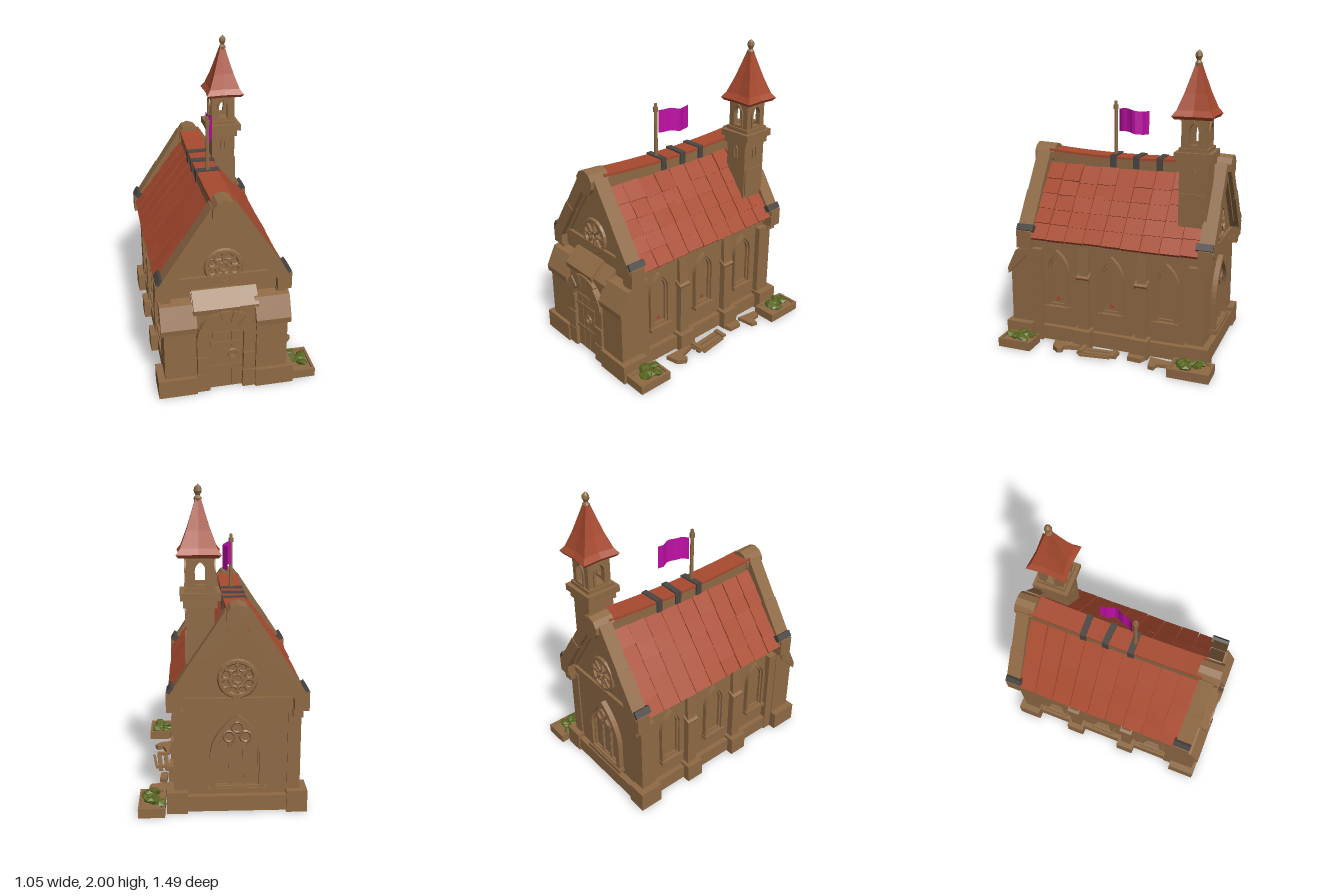
import * as THREE from 'three';

const mat = (name, color) => Object.assign(new THREE.MeshStandardMaterial({ color }), { name });
const stone = mat('brown stone', 0x8f6a45);
const tile = mat('red tile', 0xa84a2f);
const iron = mat('dark iron', 0x4b4643);
const leaf = mat('green leaf', 0x59661f);
const cloth = mat('magenta cloth', 0xc00fa6);
cloth.side = THREE.DoubleSide;

let seed = 7;
const rnd = (a) => { seed = (seed * 16807) % 2147483647; return (seed / 2147483647 - 0.5) * 2 * a; };

// Faceted normals for every part
function add(parent, name, geo, m, x = 0, y = 0, z = 0, rx = 0, ry = 0, rz = 0) {
  const g = geo.index ? geo.toNonIndexed() : geo;
  g.computeVertexNormals();
  const mesh = new THREE.Mesh(g, m);
  mesh.name = name;
  mesh.position.set(x, y, z);
  mesh.rotation.set(rx, ry, rz);
  parent.add(mesh);
  return mesh;
}
const box = (p, name, m, w, h, d, x, y, z, rx, ry, rz) => add(p, name, new THREE.BoxGeometry(w, h, d), m, x, y, z, rx, ry, rz);
const extrude = (shape, depth) => new THREE.ExtrudeGeometry(shape, { depth, bevelEnabled: false, curveSegments: 8 });
const poly = (pts) => new THREE.Shape(pts.map(([a, b]) => new THREE.Vector2(a, b)));
const group = (p, name, x = 0, y = 0, z = 0, ry = 0) => {
  const g = new THREE.Group();
  g.name = name;
  g.position.set(x, y, z);
  g.rotation.y = ry;
  p.add(g);
  return g;
};
// Profile in (z, y) swept across x
const sweepX = (p, name, m, pts, width, x) => add(p, name, extrude(poly(pts), width).translate(0, 0, -width / 2), m, x, 0, 0, 0, -Math.PI / 2, 0);

// Pointed arch outline, standing on y0
function arch(w, h, y0 = 0, C = THREE.Shape) {
  const s = new C(), k = h - w * 0.85;
  s.moveTo(-w / 2, y0);
  s.lineTo(w / 2, y0);
  s.lineTo(w / 2, y0 + k);
  s.quadraticCurveTo(w / 2, y0 + k + w * 0.5, 0, y0 + h);
  s.quadraticCurveTo(-w / 2, y0 + k + w * 0.5, -w / 2, y0 + k);
  s.closePath();
  return s;
}
function archFrame(p, name, w, h, t, depth, z = 0) {
  const s = arch(w, h);
  s.holes.push(arch(w - 2 * t, h - 2.1 * t, t, THREE.Path));
  return add(p, name, extrude(s, depth), stone, 0, 0, z);
}

function sideWindow(p, x, z, ry, lamp) {
  const g = group(p, 'sideWindow', x, 0.24, z, ry);
  archFrame(g, 'outerFrame', 0.17, 0.42, 0.022, 0.03);
  archFrame(g, 'innerFrame', 0.13, 0.37, 0.016, 0.016).position.y = 0.022;
  box(g, 'sill', stone, 0.18, 0.025, 0.045, 0, 0.01, 0.02);
  if (lamp) add(g, 'lampSpot', new THREE.CylinderGeometry(0.014, 0.014, 0.006, 10), tile, 0, 0.07, 0.003, Math.PI / 2);
}

function roseWindow(p, z, ry) {
  const g = group(p, 'roseWindow', 0, 0.86, z, ry);
  add(g, 'roseRing', new THREE.TorusGeometry(0.108, 0.017, 6, 20), stone);
  add(g, 'roseHub', new THREE.TorusGeometry(0.025, 0.009, 5, 12), stone, 0, 0, 0.006);
  for (let i = 0; i < 8; i++) {
    const a = i * Math.PI / 4;
    box(g, 'roseSpoke', stone, 0.075, 0.012, 0.02, Math.cos(a) * 0.063, Math.sin(a) * 0.063, 0.005, 0, 0, a);
    add(g, 'roseLobe', new THREE.TorusGeometry(0.026, 0.007, 4, 8), stone, Math.cos(a + 0.39) * 0.077, Math.sin(a + 0.39) * 0.077, 0.004);
  }
}

function buildRoof(c) {
  const sag = (z) => -0.028 * (1 - (z / 0.62) ** 2);
  const th = 0.936, rows = 5, cols = 9, pitch = 1.19 / cols;
  for (const s of [-1, 1]) {
    for (let r = 0; r < rows; r++) for (let k = 0; k < cols; k++) {
      const f = (r + 0.5) / rows, z = -0.62 + (k + 0.5) * pitch;
      box(c, 'roofTile', tile, 0.132 + rnd(0.006), 0.03, pitch - 0.005, s * (0.066 + 0.335 * f), 1.2 - 0.455 * f + sag(z) * (1 - f) + rnd(0.003), z,
        0, rnd(0.03), -s * (th - 0.07 + rnd(0.025)));
    }
    // Slab under the tiles
    box(c, 'roofDeck', tile, 0.56, 0.02, 1.19, s * 0.215, 0.962, -0.025, 0, 0, -s * th);
  }
  // Sagging ridge
  const bend = (geo) => {
    const q = geo.attributes.position;
    for (let i = 0; i < q.count; i++) q.setY(i, q.getY(i) + sag(q.getZ(i)));
    return geo;
  };
  add(c, 'ridgeBeam', bend(new THREE.BoxGeometry(0.135, 0.1, 1.2, 1, 1, 10)), stone, 0, 1.235, -0.025);
  add(c, 'ridgeCap', bend(new THREE.BoxGeometry(0.142, 0.016, 1.19, 1, 1, 10)), tile, 0, 1.291, -0.025);
  for (const z of [0.09, -0.08, -0.24]) box(c, 'ridgeStrap', iron, 0.156, 0.085, 0.042, 0, 1.24, z, 0, rnd(0.05), 0);
}

function buildGable(c, zMid, depth) {
  const e = Math.sign(zMid);
  for (const s of [-1, 1]) {
    box(c, 'coping', stone, 0.32, 0.075, depth, s * 0.135, 1.13, zMid, 0, 0, -s * 0.992);
    box(c, 'coping', stone, 0.32, 0.08, depth + 0.008, s * 0.3, 0.878, zMid, 0, 0, -s * 0.992);
    box(c, 'kneeler', stone, 0.09, 0.12, depth, s * 0.385, 0.73, zMid);
    box(c, 'kneelerFoot', stone, 0.06, 0.05, depth * 0.8, s * 0.365, 0.65, zMid);
    box(c, 'copingStrap', iron, 0.045, 0.095, depth + 0.02, s * 0.374, 0.79, zMid - e * 0.008, 0, 0, -s * 0.992);
    box(c, 'gableRib', stone, 0.42, 0.022, 0.02, s * 0.175, 0.975, zMid + e * 0.01, 0, 0, -s * 0.992);
  }
  add(c, 'apexRoll', new THREE.CylinderGeometry(0.082, 0.076, depth + 0.045, 10), stone, 0, 1.25, zMid, Math.PI / 2);
  box(c, 'gableBeam', stone, 0.64, 0.035, 0.03, 0, 0.725 + (e > 0 ? 0.06 : 0), e > 0 ? 0.615 : -0.645);
}

function buildPorch(c) {
  for (const s of [-1, 1]) {
    sweepX(c, 'porchWing', stone, [[0.56, 0], [0.72, 0], [0.72, 0.5], [0.66, 0.63], [0.56, 0.63]], 0.2, s * 0.295);
    sweepX(c, 'wingCap', stone, [[0.6, 0.61], [0.735, 0.47], [0.74, 0.51], [0.675, 0.645], [0.6, 0.66]], 0.225, s * 0.3);
    box(c, 'wingPlinth', stone, 0.25, 0.13, 0.19, s * 0.315, 0.065, 0.65);
    for (let i = 0; i < 3; i++) // door jamb stones
      box(c, 'jambStone', stone, 0.08 + rnd(0.006), 0.13, 0.06, s * 0.148, 0.07 + i * 0.136, 0.7 + rnd(0.006));
  }
  sweepX(c, 'porchWall', stone, [[0.56, 0], [0.7, 0], [0.7, 0.61], [0.61, 0.7], [0.56, 0.7]], 0.42, 0);
  sweepX(c, 'porchCap', stone, [[0.59, 0.69], [0.715, 0.585], [0.72, 0.62], [0.625, 0.71], [0.59, 0.71]], 0.29, -0.06);
  // Ring of arch stones
  for (let i = 0; i < 7; i++) {
    const s = new THREE.Shape(), a = i * Math.PI / 7 + 0.012, b = (i + 1) * Math.PI / 7 - 0.012;
    s.absarc(0, 0, 0.19, a, b, false);
    s.absarc(0, 0, 0.11, b, a, true);
    add(c, 'archStone', extrude(s, 0.05 + rnd(0.006)), stone, 0, 0.41, 0.685);
  }
  const d = new THREE.Shape();
  d.moveTo(-0.105, 0).lineTo(0.105, 0).lineTo(0.105, 0.41).absarc(0, 0.41, 0.105, 0, Math.PI, false);
  add(c, 'door', extrude(d, 0.02), stone, 0, 0.01, 0.69);
  for (const x of [-0.062, 0, 0.062]) box(c, 'doorPlank', stone, 0.056, 0.42, 0.008, x, 0.23, 0.713);
  for (const y of [0.18, 0.36]) box(c, 'doorBand', stone, 0.2, 0.024, 0.014, 0, y, 0.716);
  add(c, 'doorRing', new THREE.TorusGeometry(0.026, 0.008, 5, 12), stone, 0.04, 0.28, 0.724);
}

function buildTower(p) {
  const t = group(p, 'tower', 0.13, 0, -0.535);
  box(t, 'towerShaft', stone, 0.165, 0.5, 0.185, 0, 1.09, 0);
  box(t, 'shaftFoot', stone, 0.16, 0.19, 0.16, 0.012, 1.02, 0.004);
  box(t, 'lowerCornice', stone, 0.2, 0.05, 0.21, 0, 1.315, 0);
  box(t, 'upperCornice', stone, 0.24, 0.045, 0.24, 0, 1.358, 0, 0, 0.03, 0);
  box(t, 'belfryFloor', stone, 0.19, 0.03, 0.19, 0, 1.39, 0);
  box(t, 'belfryHead', stone, 0.18, 0.04, 0.18, 0, 1.595, 0);
  for (let i = 0; i < 4; i++) {
    const f = group(t, 'belfrySide', 0, 1.39, 0, i * Math.PI / 2);
    const w = poly([[-0.082, 0], [0.082, 0], [0.082, 0.2], [-0.082, 0.2]]);
    w.holes.push(arch(0.062, 0.135, 0.035, THREE.Path));
    add(f, 'belfryWall', extrude(w, 0.025), stone, 0, 0, 0.057);
    archFrame(f, 'belfryArch', 0.09, 0.165, 0.014, 0.012, 0.08).position.y = 0.02;
    if (i < 2) {
      const slit = group(f, 'shaftSlit', 0, -0.2, i ? 0.082 : 0.092);
      archFrame(slit, 'slitFrame', 0.04, 0.09, 0.01, 0.01);
    }
  }
  // Flared spire with pointed corners and dished sides
  const prof = [[0, 1.585], [0.165, 1.585], [0.186, 1.605], [0.15, 1.64], [0.098, 1.74], [0.055, 1.84], [0.018, 1.93], [0, 1.93]];
  const g = new THREE.LatheGeometry(prof.map(([a, b]) => new THREE.Vector2(a, b)), 8), q = g.attributes.position;
  for (let i = 0; i < q.count; i++) {
    const even = Math.floor(i / prof.length) % 2 === 0;
    if (even) { q.setX(i, q.getX(i) * 0.65); q.setZ(i, q.getZ(i) * 0.65); }
  }
  add(t, 'spire', g, tile, 0.008, 0, 0);
  const fin = [[0, 1.9], [0.02, 1.9], [0.024, 1.92], [0.012, 1.935], [0.024, 1.96], [0.02, 1.98], [0, 2]];
  add(t, 'finial', new THREE.LatheGeometry(fin.map(([a, b]) => new THREE.Vector2(a, b)), 8), stone, 0.01);
}

function planter(p, x, z, w, d) {
  const g = group(p, 'planter', x, 0, z);
  box(g, 'planterSoil', stone, w - 0.02, 0.04, d - 0.02, 0, 0.03, 0);
  for (const s of [-1, 1]) {
    box(g, 'planterSide', stone, 0.016, 0.06, d, s * (w / 2 - 0.008), 0.035, 0);
    box(g, 'planterEnd', stone, w, 0.06, 0.016, 0, 0.035, s * (d / 2 - 0.008));
  }
  for (let i = 0; i < 9; i++) // leaf clumps
    add(g, 'leaves', new THREE.IcosahedronGeometry(0.036, 0).scale(1, 0.55, 1.2), leaf, rnd(w * 0.3) - 0.012, 0.075 + rnd(0.014), rnd(d * 0.34), rnd(0.5), rnd(3), rnd(0.4));
}

export function createModel() {
  const root = new THREE.Group();
  root.name = 'chapel';
  const c = group(root, 'hall', -0.09);

  // Walls, plinth and buttresses
  add(c, 'walls', extrude(poly([[-0.35, 0.01], [0.35, 0.01], [0.35, 0.78], [0, 1.23], [-0.35, 0.78]]), 1.25), stone, 0, 0, -0.64);
  box(c, 'plinth', stone, 0.77, 0.1, 1.33, 0, 0.06, -0.015);
  for (const s of [-1, 1]) {
    box(c, 'eavesTrim', stone, 0.04, 0.04, 1.2, s * 0.355, 0.72, -0.02);
    for (const z of [0.185, -0.225]) {
      box(c, 'buttress', stone, 0.08, 0.5, 0.075, s * 0.355, 0.25, z);
      box(c, 'buttressTop', stone, 0.055, 0.24, 0.065, s * 0.35, 0.6, z, 0, 0, s * 0.06);
      box(c, 'buttressCap', stone, 0.07, 0.03, 0.088, s * 0.365, 0.5, z, 0, 0, -s * 0.5);
      box(c, 'buttressFoot', stone, 0.12, 0.13, 0.125, s * 0.372, 0.065, z);
    }
    for (const z of [0.55, -0.595]) box(c, 'cornerPier', stone, 0.08, 0.66, 0.11, s * 0.35, 0.33, z);
    box(c, 'cornerFoot', stone, 0.13, 0.14, 0.16, s * 0.37, 0.07, -0.61);
    [0.385, -0.01, -0.39].forEach((z, i) => sideWindow(c, s * 0.35, z, s * Math.PI / 2, i < 2 && s > 0));
  }

  buildRoof(c);
  buildGable(c, 0.605, 0.1);
  buildGable(c, -0.655, 0.09);
  buildPorch(c);
  roseWindow(c, 0.612, 0);
  roseWindow(c, -0.642, Math.PI);

  // Large rear window with tracery
  const rear = group(c, 'rearWindow', 0, 0.14, -0.64, Math.PI);
  archFrame(rear, 'rearFrame', 0.34, 0.5, 0.035, 0.035);
  for (const x of [-0.045, 0.045]) box(rear, 'mullion', stone, 0.014, 0.3, 0.016, x, 0.17, 0.008);
  for (const x of [-0.09, 0, 0.09]) archFrame(rear, 'lancet', 0.088, 0.3, 0.01, 0.014).position.set(x, 0.03, 0);
  for (const [x, y] of [[-0.05, 0.35], [0.05, 0.35], [0, 0.41]]) add(rear, 'traceryRing', new THREE.TorusGeometry(0.034, 0.008, 4, 10), stone, x, y, 0.006);
  box(rear, 'rearSill', stone, 0.36, 0.03, 0.05, 0, 0.01, 0.02);

  buildTower(root);

  // Flagpole and waving flag
  add(root, 'flagpole', new THREE.CylinderGeometry(0.011, 0.014, 0.38, 7), stone, -0.088, 1.45, 0.095);
  add(root, 'poleCollar', new THREE.CylinderGeometry(0.018, 0.018, 0.03, 7), stone, -0.088, 1.6, 0.095);
  const flag = new THREE.PlaneGeometry(0.225, 0.155, 10, 2), q = flag.attributes.position;
  for (let i = 0; i < q.count; i++) {
    const u = q.getX(i) / 0.225 + 0.5;
    q.setXYZ(i, -0.088 + 0.055 * Math.sin(u * 2.6) + 0.008 * Math.sin(u * 14), 1.512 + q.getY(i) + 0.008 * Math.sin(u * 6), 0.07 - u * 0.225);
  }
  add(root, 'flag', flag, cloth);

  // Planters and loose rubble beside the wall
  planter(root, 0.43, 0.61, 0.155, 0.235);
  planter(root, 0.438, -0.61, 0.165, 0.27);
  const slab = (name, pts, h) => add(root, name, extrude(poly(pts.map(([x, z]) => [x, -z])), h), stone, 0, 0.005, 0, -Math.PI / 2);
  slab('rubble', [[0.34, -0.31], [0.46, -0.33], [0.47, -0.37], [0.42, -0.38], [0.41, -0.45], [0.36, -0.46]], 0.025);
  slab('rubble', [[0.35, -0.16], [0.4, -0.17], [0.405, -0.26], [0.36, -0.28]], 0.03);
  slab('rubble', [[0.34, 0.38], [0.42, 0.36], [0.46, 0.31], [0.44, 0.28], [0.4, 0.29], [0.37, 0.18], [0.35, 0.19]], 0.03);
  for (const x of [0.37, 0.415]) box(root, 'brokenPlank', stone, 0.03, 0.02, 0.27, x, 0.02, 0.04, 0, 0.08, 0);
  for (const z of [-0.07, 0.15]) box(root, 'plankBrace', stone, 0.09, 0.015, 0.03, 0.393, 0.034, z);
  box(root, 'looseStick', stone, 0.014, 0.014, 0.21, 0.447, 0.02, 0.045, 0, 0.13, 0);
  return root;
}
